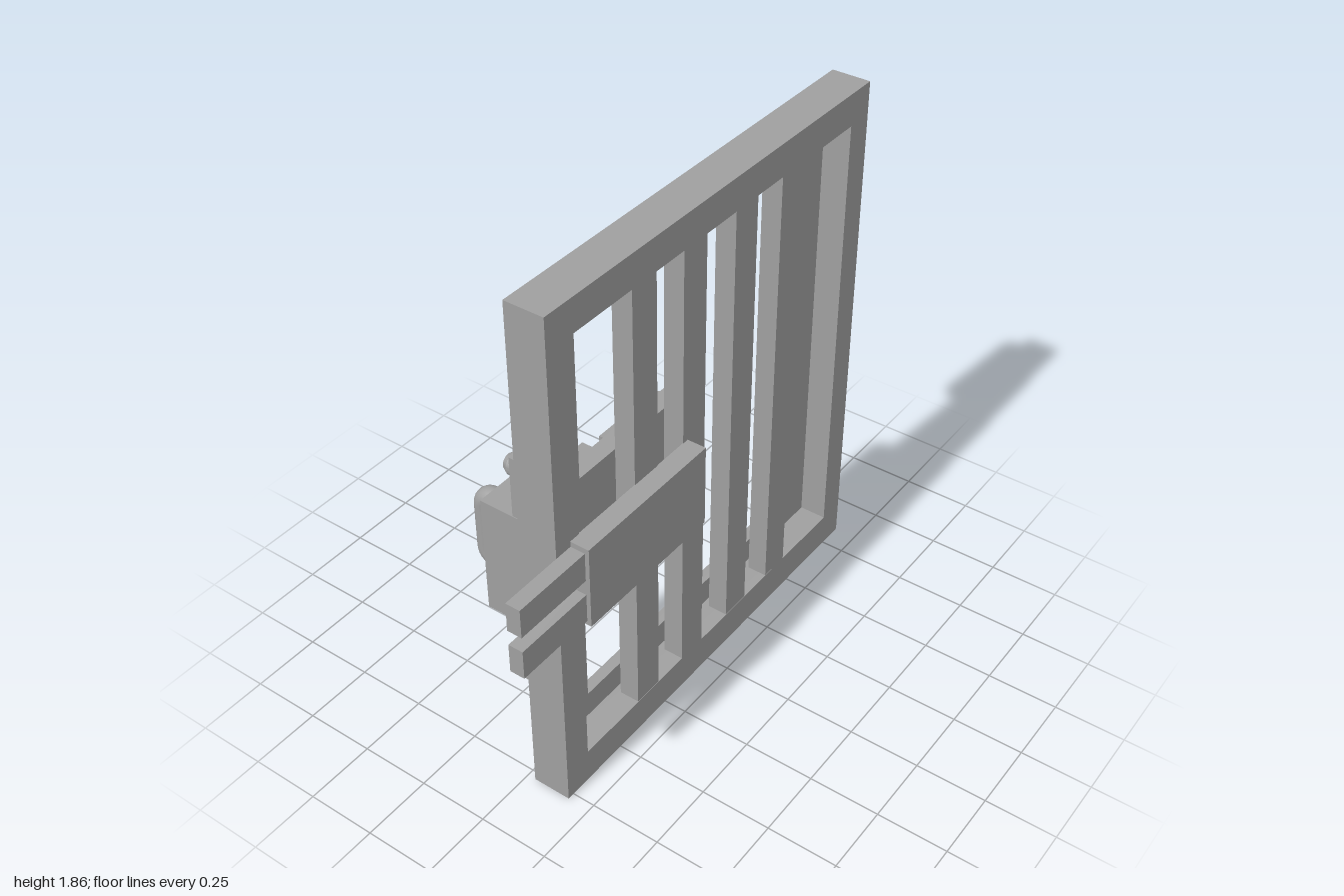
import * as THREE from 'three';
import { toCreasedNormals } from 'three/addons/utils/BufferGeometryUtils.js';

export function createModel() {
  const model = new THREE.Group();
  const steel = new THREE.MeshStandardMaterial({ color: 0xa0a0a0 });
  steel.name = 'grey steel';

  const add = (name, geometry, x = 0, y = 0, z = 0) => {
    const mesh = new THREE.Mesh(geometry, steel);
    mesh.name = name;
    mesh.position.set(x, y, z);
    model.add(mesh);
    return mesh;
  };
  // Box given by its two extents on each axis
  const box = (name, x0, x1, y0, y1, z0, z1) =>
    add(name, new THREE.BoxGeometry(x1 - x0, y1 - y0, z1 - z0),
      (x0 + x1) / 2, (y0 + y1) / 2, (z0 + z1) / 2);
  const rect = (path, x0, x1, y0, y1) =>
    path.moveTo(x0, y0).lineTo(x1, y0).lineTo(x1, y1).lineTo(x0, y1).closePath();

  // Rectangular ring from z0 to z1 with the outer edge of the door
  const ring = (name, x0, x1, y0, y1, z0, z1) => {
    const shape = new THREE.Shape();
    rect(shape, -0.775, 0.845, 0, 1.86);
    const hole = new THREE.Path();
    rect(hole, x0, x1, y0, y1);
    shape.holes.push(hole);
    add(name, new THREE.ExtrudeGeometry(shape, { depth: z1 - z0, bevelEnabled: false }), 0, 0, z0);
  };

  // Door frame: deep front rim and a thin back lip
  ring('frameRim', -0.67, 0.745, 0.125, 1.745, 0.07, 0.168);
  ring('frameLip', -0.54, 0.60, 0.22, 1.65, 0.03, 0.07);

  // Vertical bars
  for (const x of [-0.343, -0.097, 0.165, 0.412])
    box('bar', x - 0.057, x + 0.057, 0.125, 1.745, 0.095, 0.167);

  // Front bolt case with two sliding bolts
  box('boltCase', -0.71, -0.13, 0.75, 1.05, 0.165, 0.235);
  box('upperBolt', -1, -0.6, 0.925, 1.03, 0.168, 0.22);
  box('lowerBolt', -1, -0.6, 0.765, 0.87, 0.168, 0.22);

  // Back lock: mounting plate, housing and inner plate
  box('mountingPlate', -0.773, -0.54, 0.455, 1.325, 0.01, 0.035);
  box('lockHousing', -0.775, -0.54, 0.69, 1.11, -0.11, 0.03);
  box('lockPlate', -0.54, 0.04, 0.72, 1.07, -0.033, 0.03);

  // Block with its back face tapered inwards
  const cover = box('coverPlate', -0.285, 0.02, 0.74, 1.06, -0.065, -0.03);
  const pos = cover.geometry.attributes.position;
  for (let i = 0; i < pos.count; i++) if (pos.getZ(i) < 0)
    pos.setXY(i, pos.getX(i) * 0.93, pos.getY(i) * 0.93);
  cover.geometry.computeVertexNormals();

  box('upperLockBlock', -0.51, -0.335, 0.92, 1.055, -0.083, -0.03);
  box('lowerLockBlock', -0.51, -0.335, 0.74, 0.88, -0.083, -0.03);

  // Chamfered round head pointing to the back
  const stud = (name, x, y, z, r, h) => {
    const profile = [[r, 0], [r, h * 0.5], [r * 0.72, h], [0, h]].map(p => new THREE.Vector2(...p));
    const geo = toCreasedNormals(new THREE.LatheGeometry(profile, 24), 0.5);
    add(name, geo, x, y, z).rotation.x = -Math.PI / 2;
  };
  stud('keyCylinder', -0.425, 0.81, -0.083, 0.05, 0.017);
  for (const x of [-0.733, -0.583])
    for (const y of [0.51, 1.27]) stud('screw', x, y, 0.01, 0.036, 0.036);

  // Pull handle with rounded corners
  const v = (y, z) => new THREE.Vector3(-0.66, y, z);
  const grip = new THREE.CurvePath();
  grip.add(new THREE.LineCurve3(v(0.787, -0.1), v(0.787, -0.16)));
  grip.add(new THREE.QuadraticBezierCurve3(v(0.787, -0.16), v(0.787, -0.195), v(0.822, -0.195)));
  grip.add(new THREE.LineCurve3(v(0.822, -0.195), v(0.978, -0.195)));
  grip.add(new THREE.QuadraticBezierCurve3(v(0.978, -0.195), v(1.013, -0.195), v(1.013, -0.16)));
  grip.add(new THREE.LineCurve3(v(1.013, -0.16), v(1.013, -0.1)));
  add('handle', new THREE.TubeGeometry(grip, 48, 0.038, 20, false));

  // Hinge leaf: sloped outer end, extruded upwards
  const leaf = (name, points, y, h) => {
    const shape = new THREE.Shape(points.map(([x, z]) => new THREE.Vector2(x, -z)));
    const geo = new THREE.ExtrudeGeometry(shape, { depth: h, bevelEnabled: false });
    geo.rotateX(-Math.PI / 2);
    add(name, geo, 0, y, 0);
  };
  for (const y of [0.127, 1.245]) {
    add('hingePin', new THREE.CylinderGeometry(0.064, 0.064, 0.463, 32), 0.85, y + 0.2315, 0.028);
    leaf('wallLeaf', [[0.86, 0.025], [1, 0.025], [0.955, -0.018], [0.86, -0.018]], y + 0.017, 0.208);
    leaf('doorLeaf', [[0.84, 0.035], [0.70, 0.035], [0.70, 0.025], [0.745, -0.018], [0.84, -0.018]], y + 0.225, 0.21);
  }
  return model;
}
